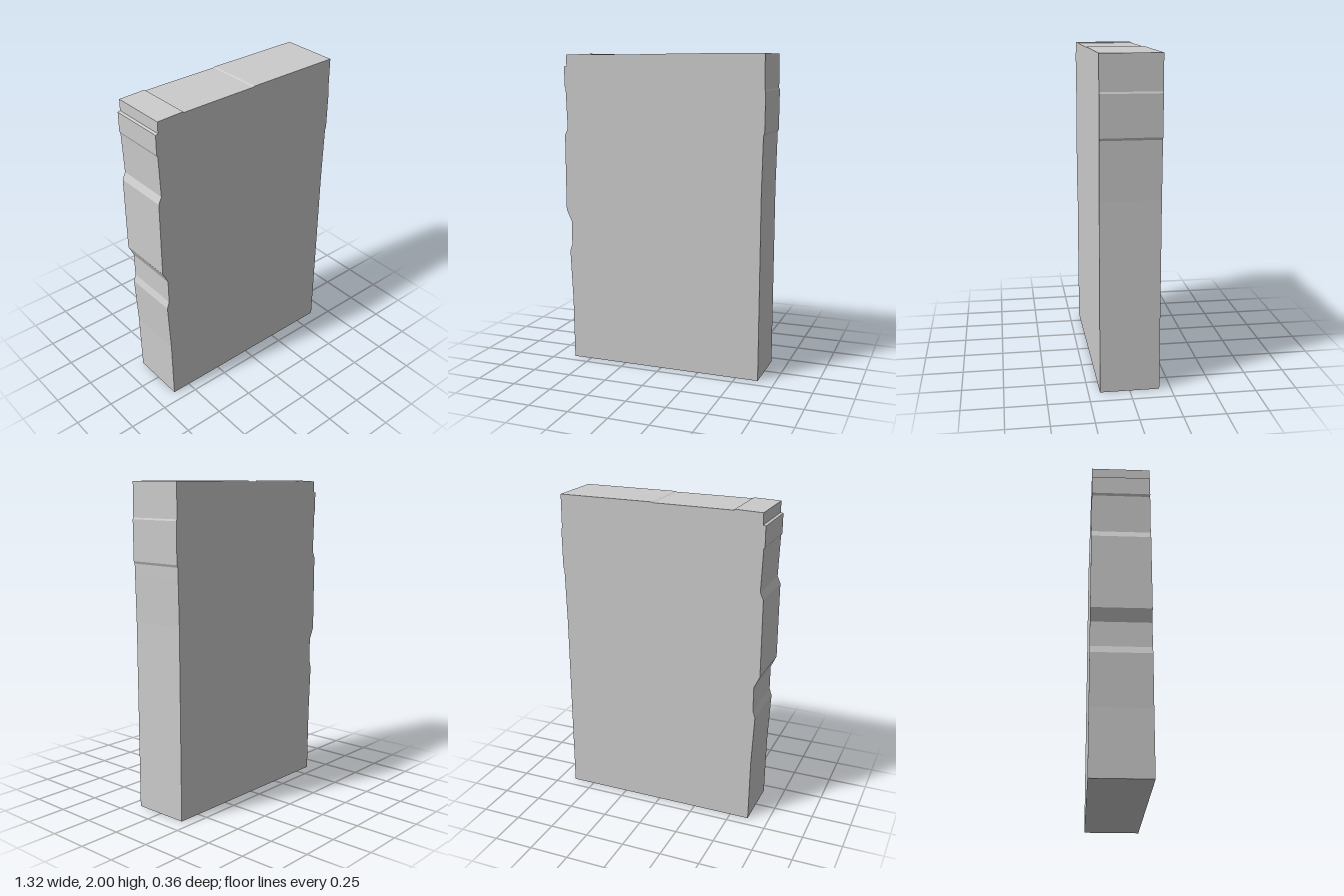
import * as THREE from 'three';

const DEPTH = 0.36;

// Worn outline of the slab, counter-clockwise from the bottom corner on -x
const OUTLINE = [
  [-0.62, 0], [0.643, 0],
  // +x edge, going up
  [0.643, 1.17], [0.648, 1.45], [0.649, 1.52], [0.656, 1.535], [0.657, 1.78], [0.652, 1.79], [0.65, 2],
  // top edge with a shallow step
  [0.04, 2], [0.03, 1.996], [-0.3, 1.995], [-0.467, 1.994], [-0.47, 2], [-0.64, 1.994],
  // -x edge, going down over the chips
  [-0.64, 1.925], [-0.656, 1.92], [-0.656, 1.8], [-0.649, 1.785], [-0.64, 1.53],
  [-0.66, 1.485], [-0.66, 1], [-0.625, 0.925], [-0.625, 0.77], [-0.64, 0.725], [-0.625, 0.4],
];

export function createModel() {
  const group = new THREE.Group();
  group.name = 'stoneSlab';

  // Flat-faced slab extruded along z and centred
  const shape = new THREE.Shape(OUTLINE.map(([x, y]) => new THREE.Vector2(x, y)));
  const geometry = new THREE.ExtrudeGeometry(shape, { depth: DEPTH, bevelEnabled: false });
  geometry.translate(0, 0, -DEPTH / 2);

  const material = new THREE.MeshStandardMaterial({ color: 0xcccccc, flatShading: true });
  const slab = new THREE.Mesh(geometry, material);
  slab.name = 'slab';
  group.add(slab);
  return group;
}
